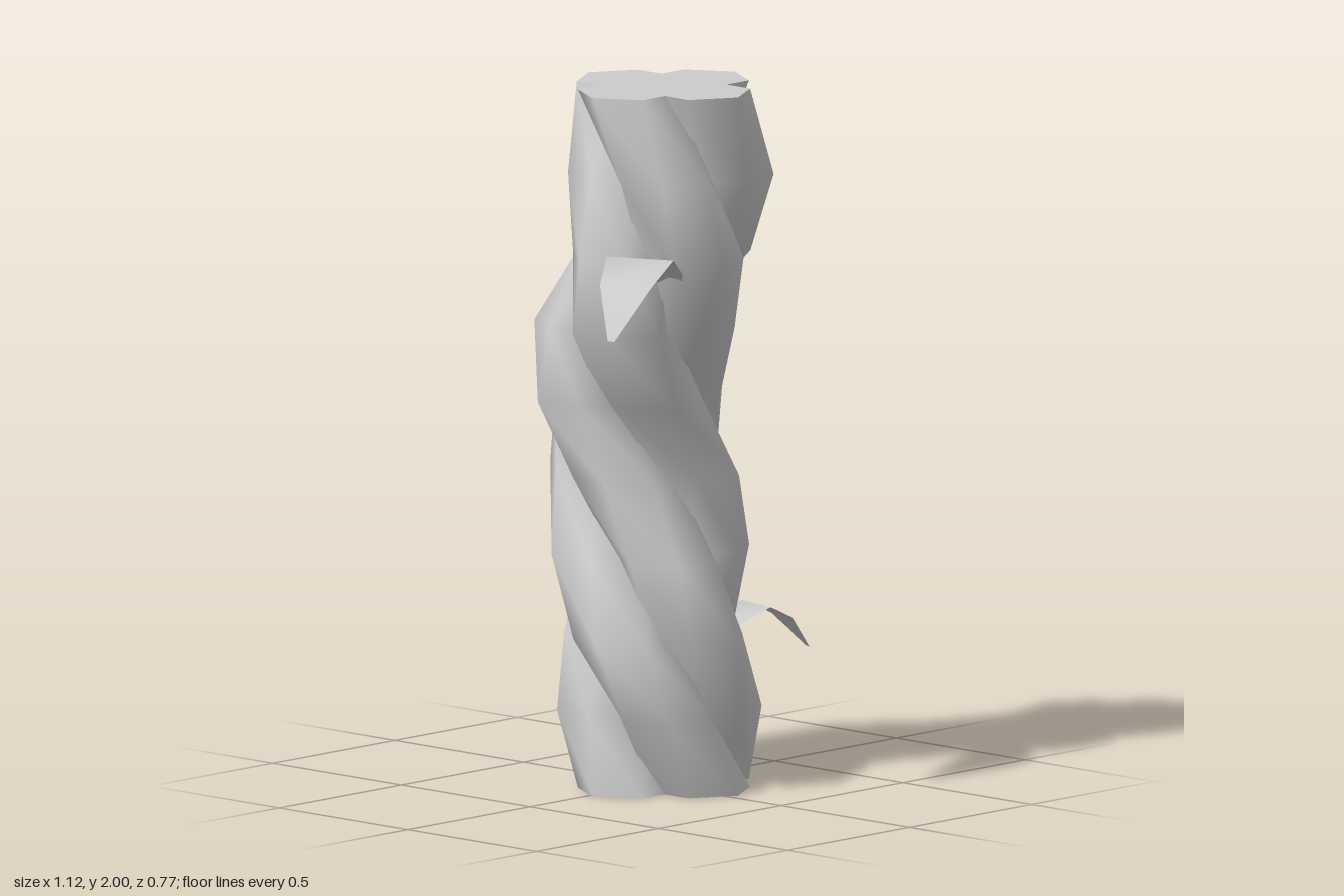
import * as THREE from 'three';

const material = new THREE.MeshStandardMaterial({ color: 0xcccccc });
const leafMaterial = new THREE.MeshStandardMaterial({ color: 0xcccccc, side: THREE.DoubleSide });

const RADIUS = 0.145; // strand radius, also its distance from the trunk's core
const SIDES = 6;

// Core path of the trunk: [x, y, z] at each ring, bottom to top
const CORE = [
  [0.03, 0, 0.015], [0.01, 0.22, 0.018], [-0.022, 0.44, 0.025],
  [0.045, 0.66, -0.05], [0.085, 0.88, -0.11], [0.025, 1.1, -0.11],
  [-0.02, 1.315, -0.05], [-0.005, 1.53, 0.042], [0.018, 1.755, 0.055],
  [0.03, 2, 0.015],
];

function build(positions, index) {
  const geo = new THREE.BufferGeometry();
  geo.setAttribute('position', new THREE.Float32BufferAttribute(positions, 3));
  geo.setIndex(index);
  geo.computeVertexNormals();
  return geo;
}

// One six-sided strand making a full turn around the core
function strandGeometry(start) {
  const positions = [], index = [];
  CORE.forEach(([x, y, z], i) => {
    const turn = start - (i / (CORE.length - 1)) * Math.PI * 2;
    for (let j = 0; j < SIDES; j++) {
      const a = turn + (j / SIDES) * Math.PI * 2;
      positions.push(
        x + RADIUS * (Math.sin(turn) + Math.sin(a)), y,
        z + RADIUS * (Math.cos(turn) + Math.cos(a)));
    }
  });
  for (let i = 0; i < CORE.length - 1; i++) {
    for (let j = 0; j < SIDES; j++) {
      const k = (j + 1) % SIDES;
      const a = i * SIDES + j, b = i * SIDES + k;
      index.push(a, b, b + SIDES, a, b + SIDES, a + SIDES);
    }
  }
  return build(positions, index);
}

// Flat end of a strand
function strandCap(start, top) {
  const [x, y, z] = CORE[top ? CORE.length - 1 : 0];
  const geo = new THREE.CircleGeometry(RADIUS, SIDES);
  geo.rotateX(top ? -Math.PI / 2 : Math.PI / 2);
  geo.rotateY(start - Math.PI / 2);
  geo.translate(x + RADIUS * Math.sin(start), y, z + RADIUS * Math.cos(start));
  const cap = new THREE.Mesh(geo, material);
  cap.name = top ? 'strandTop' : 'strandBottom';
  return cap;
}

// Drooping leaf along +x; rows are [distance, height, half width]
function makeLeaf(name, x, y, z, heading, scale) {
  const rows = [
    [-0.06, -0.04, 0.055], [0, 0, 0.075], [0.15, 0.065, 0.1],
    [0.275, 0.005, 0.076], [0.4, -0.13, 0.01],
  ];
  const positions = [], index = [];
  rows.forEach(([d, h, w], i) => {
    positions.push(d, h, w, d, h, -w);
    if (i) {
      const a = i * 2 - 2;
      index.push(a, a + 2, a + 1, a + 1, a + 2, a + 3);
    }
  });
  const leaf = new THREE.Mesh(build(positions, index), leafMaterial);
  leaf.name = name;
  leaf.position.set(x, y, z);
  leaf.rotation.y = heading;
  leaf.scale.setScalar(scale);
  return leaf;
}

export function createModel() {
  const model = new THREE.Group();
  model.name = 'twistedVine';

  // Four intertwined strands
  for (let k = 0; k < 4; k++) {
    const start = (k * Math.PI) / 2;
    const strand = new THREE.Group();
    strand.name = 'strand' + (k + 1);
    const body = new THREE.Mesh(strandGeometry(start), material);
    body.name = 'strandBody';
    strand.add(body, strandCap(start, true), strandCap(start, false));
    model.add(strand);
  }

  // Leaves
  model.add(makeLeaf('upperLeaf', -0.19, 1.515, 0.2, Math.PI + 0.428, 1));
  model.add(makeLeaf('lowerLeaf', 0.275, 0.425, 0.02, -0.2, 0.72));
  return model;
}
